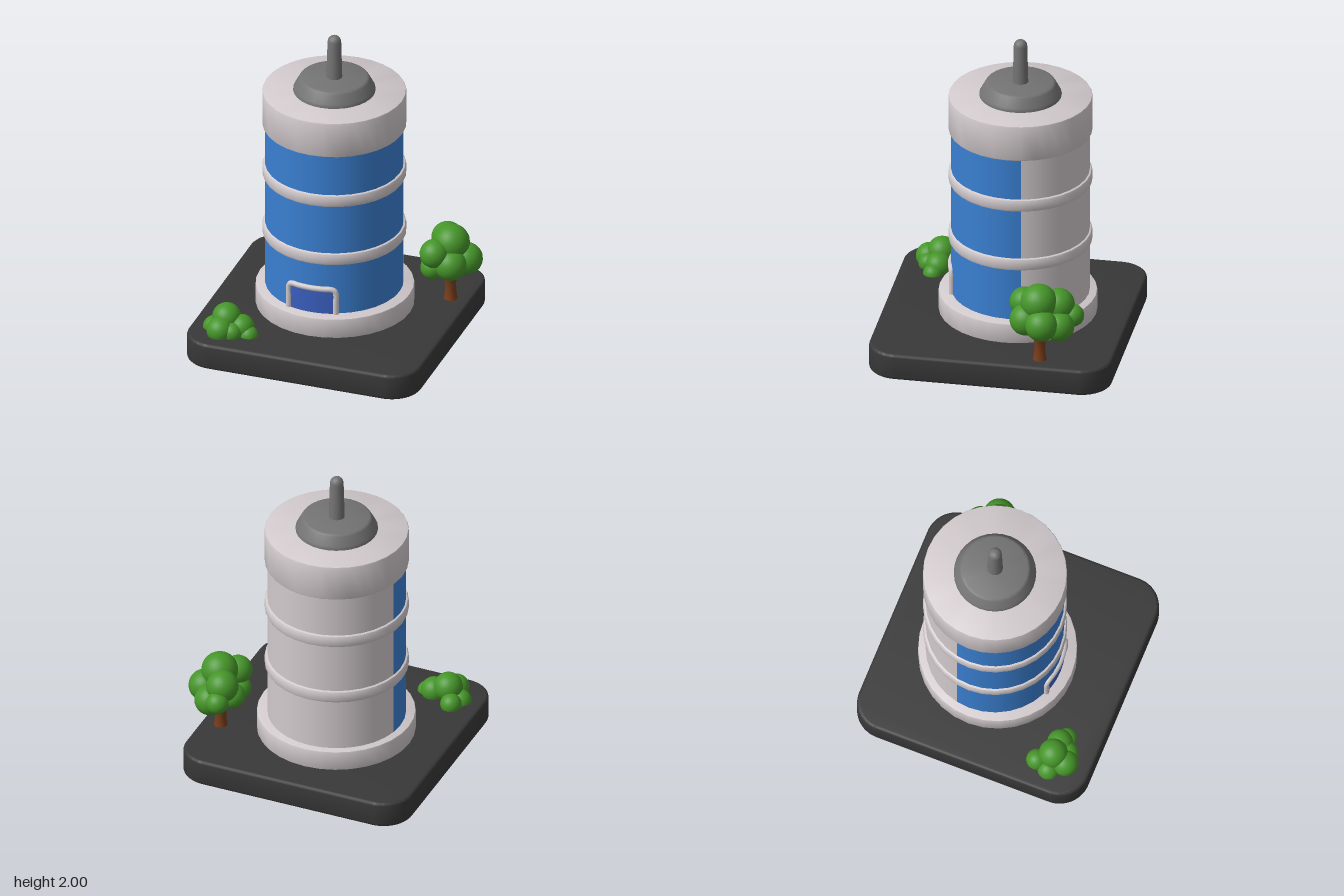
import * as THREE from 'three';
import { toCreasedNormals } from 'three/addons/utils/BufferGeometryUtils.js';

const material = (color) => new THREE.MeshStandardMaterial({ color });
const CX = -0.074, CZ = -0.073; // tower axis
const WALL_R = 0.424;
const SEGMENTS = 32;

export function createModel() {
  const model = new THREE.Group();
  model.name = 'towerScene';
  const concrete = material(0xd2cacd);
  const roofGrey = material(0x727372);
  const glass = material(0x3a80d2);
  const doorBlue = material(0x3a5fc0);
  const asphalt = material(0x383838);
  const leaf = material(0x46962a);
  const bark = material(0x7a3d1b);

  function add(name, geometry, mat, x = 0, y = 0, z = 0, parent = model) {
    const mesh = new THREE.Mesh(geometry, mat);
    mesh.name = name;
    mesh.position.set(x, y, z);
    parent.add(mesh);
    return mesh;
  }

  // Turned solid from [radius, height] pairs, bottom to top
  function turned(profile, segments = SEGMENTS) {
    const points = profile.map(([r, y]) => new THREE.Vector2(r, y));
    return toCreasedNormals(new THREE.LatheGeometry(points, segments), 0.6);
  }

  // Disc with softened rims
  function disc(r, y0, y1, b) {
    return turned([
      [0, y0], [r - b, y0], [r - b * 0.3, y0 + b * 0.3], [r, y0 + b],
      [r, y1 - b], [r - b * 0.3, y1 - b * 0.3], [r - b, y1], [0, y1],
    ]);
  }

  // Ground slab with rounded corners and bevelled rims
  const bevel = 0.018, half = 0.753 - bevel, corner = 0.17;
  const outline = new THREE.Shape();
  [[1, 1, 0], [-1, 1, 1], [-1, -1, 2], [1, -1, 3]].forEach(([sx, sy, q]) => {
    outline.absarc(sx * (half - corner), sy * (half - corner), corner,
      q * Math.PI / 2, (q + 1) * Math.PI / 2, false);
  });
  const slab = new THREE.ExtrudeGeometry(outline, {
    depth: 0.168 - 2 * bevel, bevelSize: bevel, bevelThickness: bevel,
    bevelSegments: 3, curveSegments: 8,
  });
  slab.rotateX(-Math.PI / 2);
  add('groundSlab', toCreasedNormals(slab, 0.6), asphalt, -0.038, bevel, -0.002);

  // Tower
  const tower = new THREE.Group();
  tower.name = 'tower';
  tower.position.set(CX, 0, CZ);
  model.add(tower);
  add('plinth', disc(0.486, 0.16, 0.296, 0.008), concrete, 0.009, 0, 0.014, tower);

  // Glass wraps the front, solid wall closes the back
  const glassHalf = Math.PI * 0.5625;
  const wall = (start, length, segments) => new THREE.CylinderGeometry(
    WALL_R, WALL_R, 1.12, segments, 1, true, start, length);
  add('glassWall', wall(-glassHalf, 2 * glassHalf, 18), glass, 0, 0.85, 0, tower);
  add('rearWall', wall(glassHalf, 2 * (Math.PI - glassHalf), 14), concrete, 0, 0.85, 0, tower);

  // Floor bands and crown
  [[0.632, 0.715], [1.036, 1.12]].forEach(([y0, y1]) =>
    add('floorBand', disc(0.441, y0, y1, 0.02), concrete, 0, 0, 0, tower));
  add('crown', disc(0.441, 1.388, 1.626, 0.01), concrete, 0, 0, 0, tower);

  // Roof cap and mast
  add('roofCap', turned([
    [0.252, 1.61], [0.252, 1.636], [0.246, 1.648], [0.217, 1.702],
    [0.21, 1.711], [0.198, 1.715], [0, 1.715],
  ]), roofGrey, 0, 0, 0, tower);
  const mast = [[0.049, 1.7], [0.042, 1.958]];
  for (let i = 1; i <= 5; i++) {
    const a = i * Math.PI / 10;
    mast.push([0.042 * Math.cos(a), 1.958 + 0.042 * Math.sin(a)]);
  }
  add('mast', turned(mast, 16), roofGrey, 0, 0, 0, tower);

  // Door panel and frame, both curved with the wall
  const doorHalf = 0.36;
  add('doorPanel', new THREE.CylinderGeometry(WALL_R + 0.006, WALL_R + 0.006, 0.17, 10, 1,
    true, -doorHalf, 2 * doorHalf), doorBlue, 0, 0.375, 0, tower);
  const onWall = (a, y) => new THREE.Vector3(
    Math.sin(a) * (WALL_R + 0.003), y, Math.cos(a) * (WALL_R + 0.003));
  const framePoints = [];
  const fa = 0.364, top = 0.463, bend = 0.03;
  framePoints.push(onWall(-fa, 0.285), onWall(-fa, 0.36), onWall(-fa, top - bend));
  framePoints.push(onWall(-fa + 0.02, top - 0.009));
  for (let i = -4; i <= 4; i++) framePoints.push(onWall(i * 0.073, top));
  framePoints.push(onWall(fa - 0.02, top - 0.009));
  framePoints.push(onWall(fa, top - bend), onWall(fa, 0.36), onWall(fa, 0.285));
  add('doorFrame', new THREE.TubeGeometry(new THREE.CatmullRomCurve3(framePoints),
    60, 0.018, 10), concrete, 0, 0, 0, tower);

  // Foliage clumps: x, y, z, radius
  function foliage(name, balls) {
    const group = new THREE.Group();
    group.name = name;
    model.add(group);
    balls.forEach(([x, y, z, r]) =>
      add('leafBall', new THREE.SphereGeometry(r, 24, 16), leaf, x, y, z, group));
  }
  foliage('treeCrown', [
    [0.60, 0.562, -0.315, 0.113], [0.535, 0.525, -0.425, 0.1],
    [0.686, 0.447, -0.347, 0.1], [0.525, 0.52, -0.21, 0.09],
    [0.622, 0.447, -0.238, 0.1], [0.53, 0.455, -0.513, 0.07],
    [0.61, 0.415, -0.44, 0.097], [0.51, 0.405, -0.33, 0.08],
    [0.505, 0.41, -0.235, 0.075],
  ]);
  foliage('bush', [
    [-0.565, 0.25, 0.507, 0.09], [-0.62, 0.19, 0.42, 0.066],
    [-0.647, 0.17, 0.507, 0.068], [-0.58, 0.2, 0.59, 0.083],
    [-0.467, 0.2, 0.512, 0.08], [-0.412, 0.165, 0.537, 0.06],
    [-0.505, 0.19, 0.58, 0.063],
  ]);

  // Trunk
  add('treeTrunk', turned([
    [0.044, 0.16], [0.036, 0.21], [0.034, 0.27], [0.042, 0.32], [0.056, 0.37], [0.06, 0.42],
  ], 12), bark, 0.592, 0, -0.32);

  return model;
}
